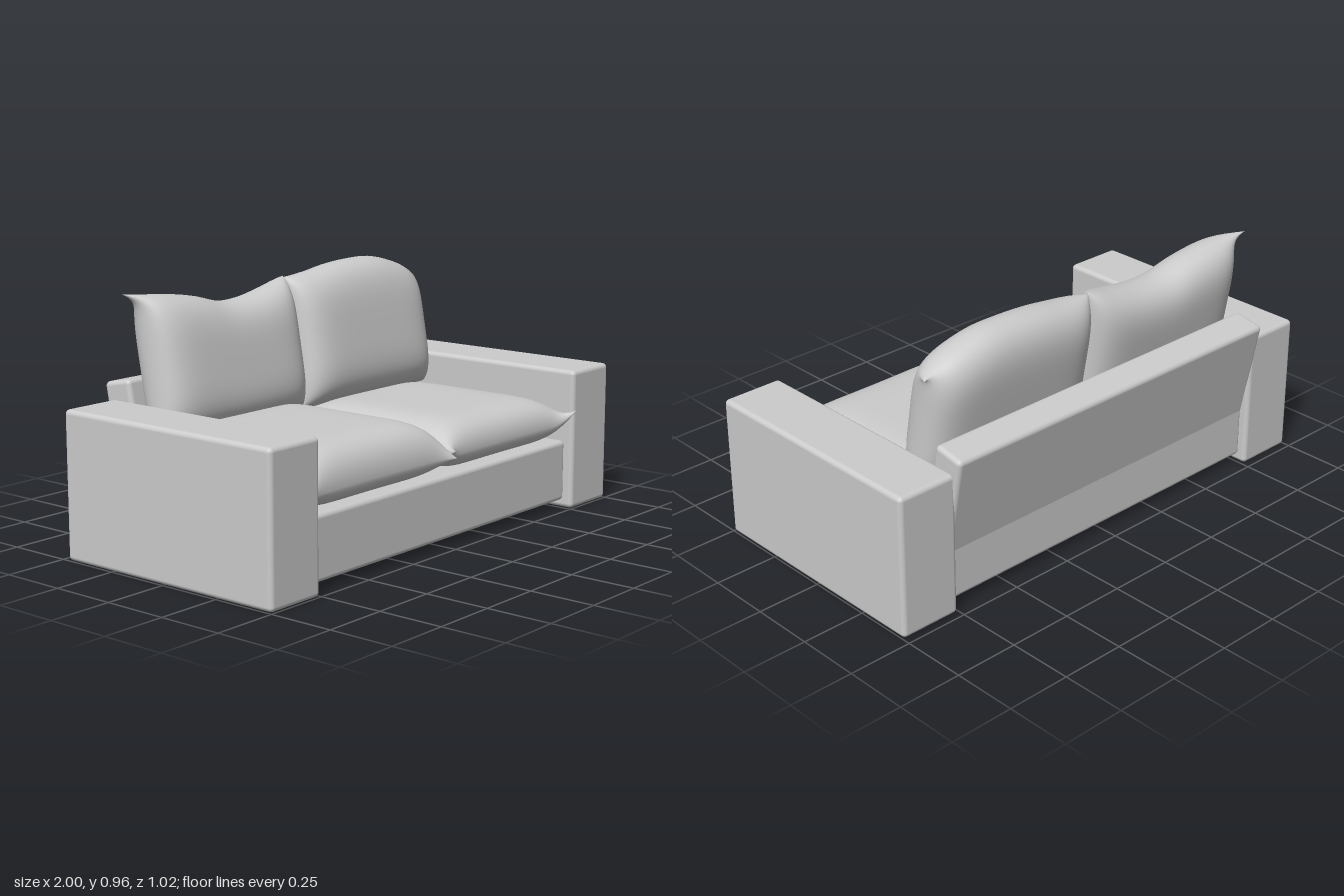
import * as THREE from 'three';
import { RoundedBoxGeometry } from 'three/addons/geometries/RoundedBoxGeometry.js';
import { mergeGeometries, mergeVertices } from 'three/addons/utils/BufferGeometryUtils.js';

const fabric = new THREE.MeshStandardMaterial({ color: 0xcccccc });

function block(name, w, h, d, x, y, z, tilt = 0) {
  const mesh = new THREE.Mesh(new RoundedBoxGeometry(w, h, d, 4, 0.018), fabric);
  mesh.name = name;
  mesh.position.set(x, y, z);
  mesh.rotation.x = tilt;
  return mesh;
}

// Evenly spaced heights along an edge become a smooth curve.
function edgeCurve(values) {
  const curve = new THREE.SplineCurve(values.map((v, i) => new THREE.Vector2(i, v)));
  return (u) => curve.getPoint((u + 1) / 2).y;
}

// Two puffed sheets sewn along a rim; ears are pulled-out corners [sideX, sideY, dx, dy, dz].
function cushion(name, { halfW, top, bottom, front, back, px, py, ears }) {
  const face = new THREE.PlaneGeometry(2, 2, 40, 40);
  const sheets = [face, face.clone().rotateY(Math.PI)].map((sheet, side) => {
    const p = sheet.attributes.position;
    for (let i = 0; i < p.count; i++) {
      // crowd the grid towards the rim
      const u = Math.sin(p.getX(i) * Math.PI / 2);
      const v = Math.sin(p.getY(i) * Math.PI / 2);
      const puff = Math.sqrt(Math.max(0, (1 - Math.abs(u) ** px) * (1 - Math.abs(v) ** py)));
      const s = (v + 1) / 2;
      let x = u * halfW * (1 - 0.012 * (1 - v * v));
      let y = bottom(u) * (1 - s) + top(u) * s;
      let z = side === 0 ? front * puff : -back * puff;
      if (puff < 1e-6) z = 0;
      for (const [sx, sy, dx, dy, dz] of ears) {
        const w = Math.max(0, u * sx) ** 14 * Math.max(0, v * sy) ** 14;
        x += dx * w;
        y += dy * w;
        z += dz * w;
      }
      p.setXYZ(i, x, y, z);
    }
    sheet.deleteAttribute('uv');
    sheet.deleteAttribute('normal');
    return sheet;
  });
  const geometry = mergeVertices(mergeGeometries(sheets), 1e-5);
  geometry.computeVertexNormals();
  const mesh = new THREE.Mesh(geometry, fabric);
  mesh.name = name;
  return mesh;
}

export function createModel() {
  const sofa = new THREE.Group();
  sofa.name = 'sofa';

  // Frame
  sofa.add(block('base', 1.53, 0.24, 0.9, 0, 0.15, 0.01));
  sofa.add(block('backrest', 1.54, 0.41, 0.128, 0, 0.42, -0.412, -0.19));
  for (const s of [1, -1]) {
    sofa.add(block(s > 0 ? 'leftArm' : 'rightArm', 0.245, 0.55, 0.975, s * 0.8775, 0.275, 0.0125));
  }

  // Seat cushions
  const seats = [
    { name: 'rightSeatCushion', x: -0.38, front: 0.145, ears: [[-1, -1, 0, -0.015, 0], [1, -1, 0.005, -0.03, 0]] },
    { name: 'leftSeatCushion', x: 0.375, front: 0.115, ears: [[1, -1, 0.01, -0.045, 0.06], [-1, -1, 0, -0.035, 0.03]] },
  ];
  for (const { name, x, front, ears } of seats) {
    const seat = cushion(name, {
      halfW: 0.382, front, back: 0.075, px: 6, py: 7, ears,
      top: () => 0.38,
      bottom: (u) => -0.375 - 0.012 * u * u,
    });
    seat.position.set(x, 0.338, 0.08);
    seat.rotation.x = -Math.PI / 2;
    sofa.add(seat);
  }

  // Back cushions: top edge heights run from -x to +x
  const backs = [
    { name: 'rightBackCushion', x: -0.382, heights: [0.94, 0.93, 0.91, 0.878, 0.88, 0.902, 0.93],
      ears: [[-1, 1, -0.045, 0.01, -0.03]] },
    { name: 'leftBackCushion', x: 0.382, heights: [0.925, 0.935, 0.952, 0.96, 0.957, 0.925, 0.875],
      ears: [[1, 1, 0.015, -0.015, -0.03]] },
  ];
  for (const { name, x, heights, ears } of backs) {
    const edge = edgeCurve(heights.map((h) => (h - 0.67) / 0.985));
    const pillow = cushion(name, {
      halfW: 0.383, front: 0.115, back: 0.11, px: 7, py: 4, ears,
      top: edge,
      bottom: () => -0.25,
    });
    pillow.position.set(x, 0.67, -0.29);
    pillow.rotation.x = -0.175;
    sofa.add(pillow);
  }
  return sofa;
}
